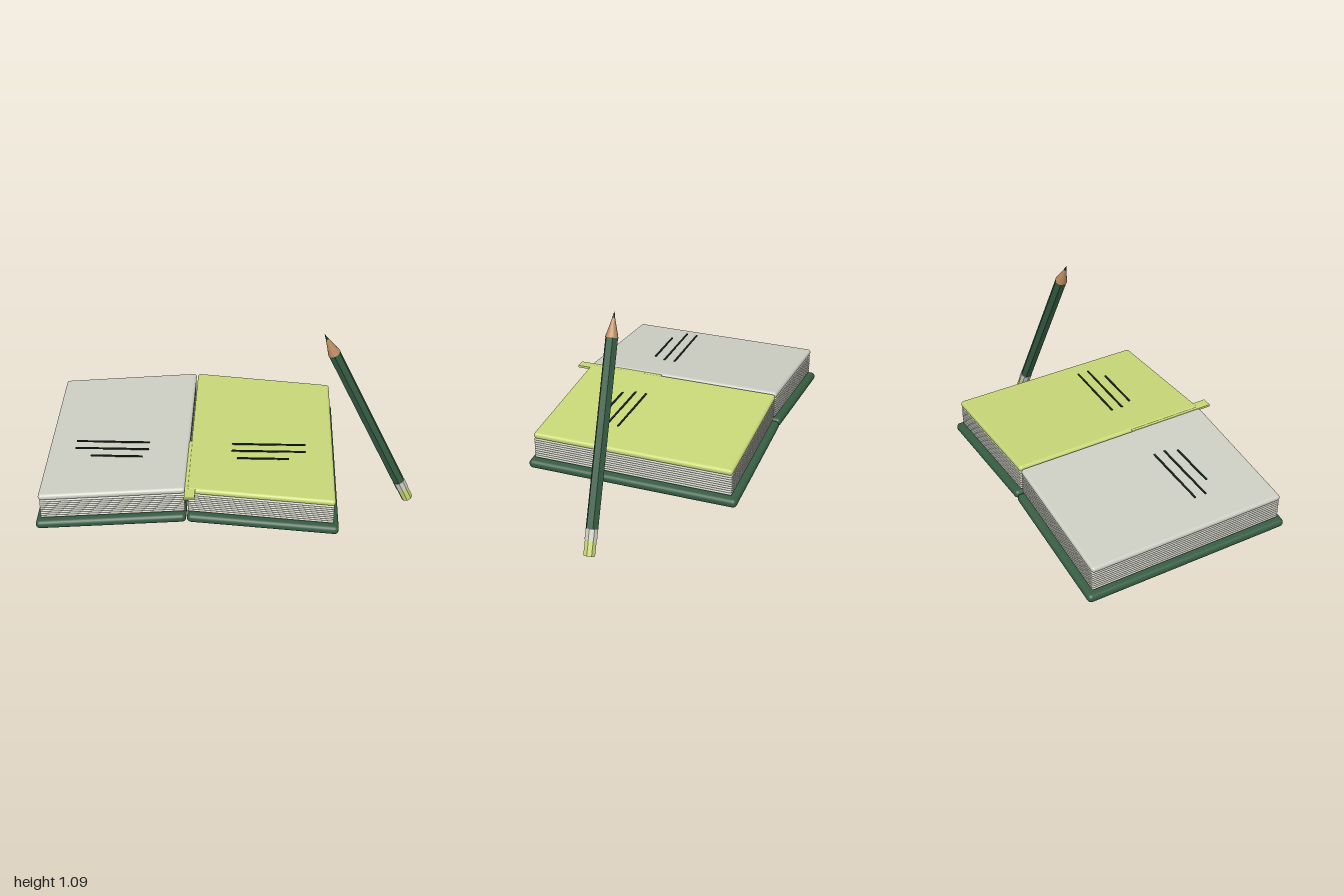
import * as THREE from 'three';
import { RoundedBoxGeometry } from 'three/addons/geometries/RoundedBoxGeometry.js';

function material(name, color, flatShading = false) {
  const m = new THREE.MeshStandardMaterial({ color, flatShading });
  m.name = name;
  return m;
}

export function createModel() {
  const green = material('forest green', 0x365c43);
  const grey = material('paper grey', 0xcdcec3);
  const lime = material('lime', 0xc8d878);
  const wood = material('bare wood', 0xb98b60);
  const ink = material('dark ink', 0x1c2f24);

  const model = new THREE.Group();
  model.name = 'notebookAndPencil';

  function add(parent, name, geometry, mat, x = 0, y = 0, z = 0) {
    const mesh = new THREE.Mesh(geometry, mat);
    mesh.name = name;
    mesh.position.set(x, y, z);
    parent.add(mesh);
    return mesh;
  }

  // Open notebook: two mirrored halves sloping down from the spine
  const book = new THREE.Group();
  book.name = 'notebook';
  book.position.x = -0.218;
  model.add(book);

  const tilt = 0.085;
  const sheetCount = 9;
  const pitch = 0.0125;
  const coverShape = new RoundedBoxGeometry(0.78, 0.047, 1.135, 4, 0.022);
  const pageShape = new RoundedBoxGeometry(0.757, 0.034, 1.08, 4, 0.016);
  const sheetShape = new RoundedBoxGeometry(0.748, pitch, 1.075, 2, 0.006);

  for (const [side, s] of [['right', -1], ['left', 1]]) {
    const half = new THREE.Group();
    half.name = side + 'Half';
    book.add(half);
    const cover = add(half, side + 'Cover', coverShape, green, s * 0.391, 0.226, -0.022);
    const page = add(half, side + 'TopPage', pageShape, s === 1 ? lime : grey, s * 0.381, 0.388, -0.02);
    cover.rotation.z = page.rotation.z = -s * tilt;

    // Stack of thin sheets under the top page
    for (let i = 0; i < sheetCount; i++) {
      const sheet = add(half, side + 'Sheet', sheetShape, grey, s * 0.38, 0.366 - i * pitch, -0.02);
      sheet.rotation.z = -s * tilt;
    }

    // Three level written lines, the last one shorter
    const middle = s === 1 ? 0.415 : -0.412;
    for (const [width, shift, z] of [[0.39, 0, 0.105], [0.39, 0, 0.166], [0.272, -0.03, 0.23]]) {
      const dx = s === 1 ? shift : shift + 0.06;
      add(half, side + 'WrittenLine', new THREE.BoxGeometry(width, 0.006, 0.009), ink,
        middle + (width < 0.3 ? dx : 0), 0.4205, z);
    }
  }

  // Ribbon bookmark lying in the fold
  add(book, 'ribbon', new THREE.BoxGeometry(0.054, 0.012, 0.485), lime, 0.02, 0.426, 0.343);

  // Pencil, built along its own y axis and leaned over
  const pencil = new THREE.Group();
  pencil.name = 'pencil';
  const base = new THREE.Vector3(0.97, 0.015, 0.02);
  const axis = new THREE.Vector3(0.465, 1.093, 0.08).sub(base);
  const length = axis.length();
  pencil.position.copy(base);
  pencil.quaternion.setFromUnitVectors(new THREE.Vector3(0, 1, 0), axis.normalize());
  model.add(pencil);

  const flatGreen = material('pencil green', 0x365c43, true);
  const flatGrey = material('ferrule grey', 0xcdcec3, true);
  const flatLime = material('eraser lime', 0xc8d878, true);
  function section(name, from, to, bottom, top, sides, mat) {
    const h = (to - from) * length;
    add(pencil, name, new THREE.CylinderGeometry(top, bottom, h, sides), mat, 0, from * length + h / 2, 0);
  }
  section('eraser', 0, 0.066, 0.031, 0.031, 8, flatLime);
  section('ferrule', 0.066, 0.112, 0.033, 0.033, 8, flatGrey);
  section('shaft', 0.112, 0.892, 0.033, 0.033, 6, flatGreen);
  section('woodTip', 0.892, 0.988, 0.033, 0.002, 16, wood);
  section('lead', 0.965, 1, 0.009, 0.0005, 12, ink);

  return model;
}
